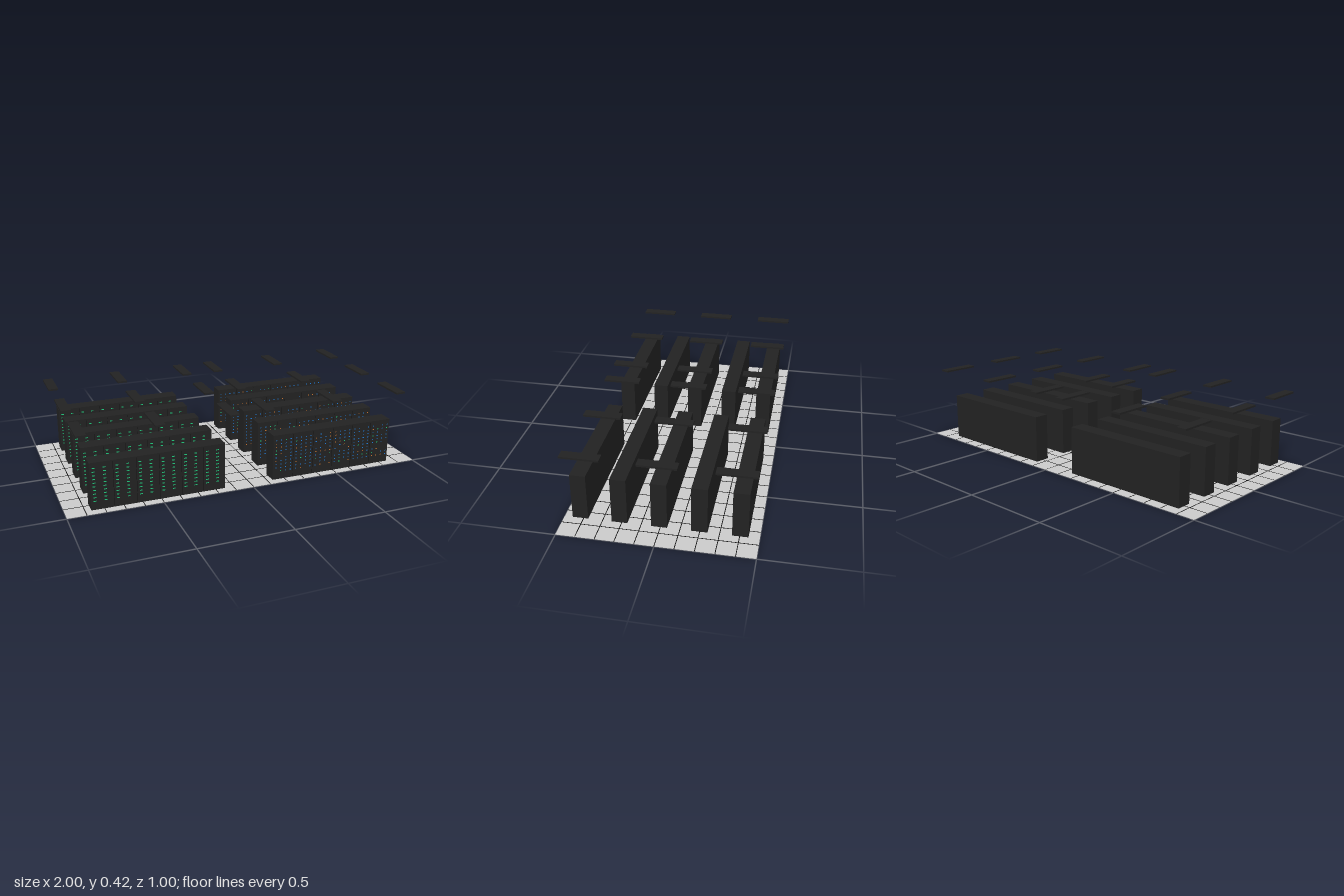
import * as THREE from 'three';
import { mergeGeometries } from 'three/addons/utils/BufferGeometryUtils.js';

const mat = (name, color) => {
  const m = new THREE.MeshStandardMaterial({ color });
  m.name = name;
  return m;
};

export function createModel() {
  const model = new THREE.Group();
  model.name = 'serverRoom';
  const mats = {
    floor: mat('floorGrey', 0xcacaca),
    line: mat('seamBlack', 0x111111),
    rack: mat('rackBlack', 0x222222),
    panel: mat('lampWhite', 0xcccccc),
    green: mat('ledGreen', 0x20d080),
    blue: mat('ledBlue', 0x2080e0),
    orange: mat('ledOrange', 0xd07830),
  };
  const box = (w, h, d, x, y, z) => new THREE.BoxGeometry(w, h, d).translate(x, y, z);
  const add = (name, geometry, material, parent = model) => {
    const mesh = new THREE.Mesh(geometry, material);
    mesh.name = name;
    parent.add(mesh);
  };
  let seed = 7;
  const random = () => (seed = (seed * 16807) % 2147483647) / 2147483647;

  // Raised floor with tile joints visible on both faces
  add('floor', box(2, 0.002, 1, 0, 0.001, 0), mats.floor);
  const joints = [];
  for (let i = -9; i <= 9; i++) joints.push(box(0.004, 0.003, 1, i / 10, 0.0012, 0));
  for (let i = -4; i <= 4; i++) joints.push(box(2, 0.003, 0.004, 0, 0.0012, i / 10));
  add('floorJoints', mergeGeometries(joints), mats.line);

  // Five rows of racks on each side of the aisle, six racks per row
  const rackW = 0.12, rackH = 0.258, rackD = 0.082;
  const buildRow = (side, startX, z) => {
    const row = new THREE.Group();
    row.name = side + 'RackRow';
    model.add(row);
    const front = z + rackD / 2;
    const leds = { green: [], blue: [], orange: [] };
    const seams = [];
    const led = (color, w, x, y) =>
      leds[color].push(new THREE.PlaneGeometry(w, 0.005).translate(x, y, front + 0.0015));
    for (let r = 0; r < 6; r++) {
      const x = startX + r * rackW;
      add('rack', box(rackW, rackH, rackD, x + rackW / 2, rackH / 2 + 0.002, z), mats.rack, row);
      if (r) seams.push(box(0.002, rackH - 0.01, 0.001, x, rackH / 2, front + 0.0005));
      for (let k = 0; k < 10; k++) {
        const y = 0.05 + k * 0.02;
        if (side === 'right') {
          // Green status lights in two columns
          for (const dx of [0.02, 0.076]) led('green', 0.015, x + dx, y);
        } else {
          // Mostly blue drive lights in four columns
          for (let c = 0; c < 4; c++) {
            const v = random();
            if (v < 0.15) continue;
            led(v < 0.8 ? 'blue' : v < 0.92 ? 'orange' : 'green', 0.007, x + 0.018 + c * 0.029, y);
          }
        }
      }
    }
    add('rackSeams', mergeGeometries(seams), mats.line, row);
    for (const color in leds)
      if (leds[color].length) add(color + 'Lights', mergeGeometries(leds[color]), mats[color], row);
  };
  for (let i = 0; i < 5; i++) {
    const z = 0.417 - i * 0.205;
    buildRow('right', -0.868, z);
    buildRow('left', 0.13, z);
  }

  // Ceiling lamps: dark housing with a pale panel underneath
  for (const x of [-0.9, -0.5, -0.1, 0.1, 0.5, 0.9])
    for (const z of [0.375, -0.005, -0.385]) {
      const lamp = new THREE.Group();
      lamp.name = 'ceilingLamp';
      lamp.position.set(x, 0.412, z);
      model.add(lamp);
      add('lampHousing', box(0.054, 0.01, 0.2, 0, 0, 0), mats.rack, lamp);
      add('lampPanel', box(0.044, 0.001, 0.186, 0, -0.0055, 0), mats.panel, lamp);
    }
  return model;
}
